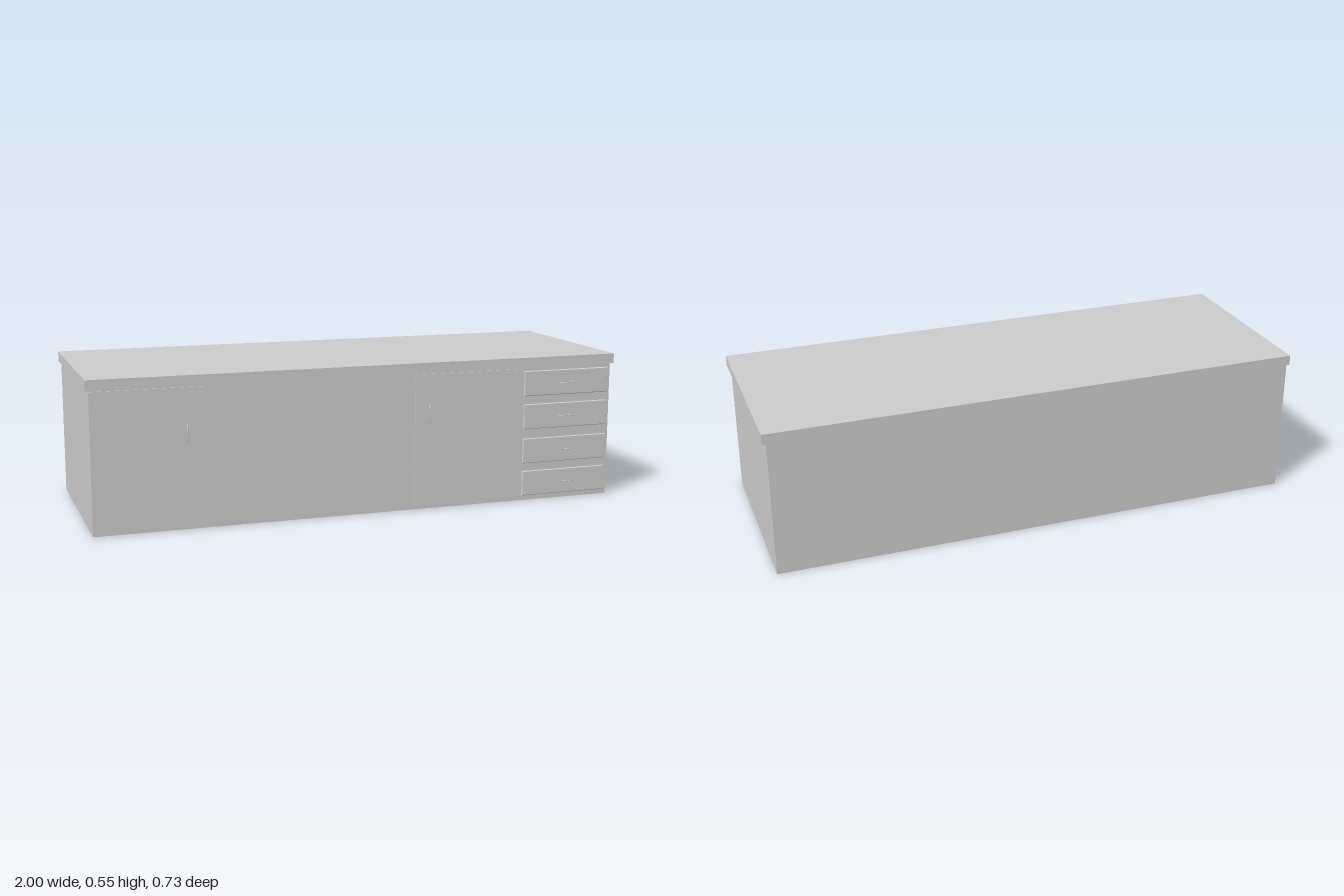
import * as THREE from 'three';

const material = new THREE.MeshStandardMaterial({ color: 0xcccccc });
const FRONT = 0.351; // front plane of the cabinet body

export function createModel() {
  const model = new THREE.Group();

  const add = (name, geometry, parent = model) => {
    const mesh = new THREE.Mesh(geometry, material);
    mesh.name = name;
    parent.add(mesh);
    return mesh;
  };

  // Box given by its extents
  const block = (name, x0, x1, y0, y1, z0, z1, parent) => {
    const mesh = add(name, new THREE.BoxGeometry(x1 - x0, y1 - y0, z1 - z0), parent);
    mesh.position.set((x0 + x1) / 2, (y0 + y1) / 2, (z0 + z1) / 2);
    return mesh;
  };

  // Bowed pull handle, lying along x unless turned upright
  const handle = (name, x, y, z, depth, upright, parent) => {
    const h = 0.034;
    const path = new THREE.CatmullRomCurve3([
      new THREE.Vector3(-h, 0, -0.002),
      new THREE.Vector3(-h * 0.8, 0, depth * 0.6),
      new THREE.Vector3(0, 0, depth),
      new THREE.Vector3(h * 0.8, 0, depth * 0.6),
      new THREE.Vector3(h, 0, -0.002),
    ]);
    const mesh = add(name, new THREE.TubeGeometry(path, 24, 0.002, 8), parent);
    mesh.position.set(x, y, z);
    if (upright) mesh.rotation.z = Math.PI / 2;
  };

  // Cabinet body and overhanging worktop
  block('cabinetBody', -0.99, 0.985, 0, 0.508, -0.362, FRONT);
  block('worktop', -1, 1, 0.508, 0.545, -0.366, 0.353);

  // Two doors, each with an upright handle
  for (const [side, x0, x1, hx, hy] of [
    ['right', -0.99, -0.6, -0.655, 0.343],
    ['left', 0.19, 0.62, 0.245, 0.355],
  ]) {
    const door = new THREE.Group();
    door.name = side + 'Door';
    model.add(door);
    block('doorPanel', x0, x1, 0.002, 0.504, FRONT - 0.003, 0.355, door);
    handle('doorHandle', hx, hy, 0.355, 0.01, true, door);
  }

  // Stack of four drawers with chamfered fronts
  [0.065, 0.19, 0.321, 0.447].forEach((y, i) => {
    const drawer = new THREE.Group();
    drawer.name = 'drawer' + (i + 1);
    model.add(drawer);
    const front = block('drawerFront', 0.625, 0.977, y - 0.05, y + 0.05, FRONT - 0.003, 0.355, drawer);
    const pos = front.geometry.attributes.position;
    for (let k = 0; k < pos.count; k++) {
      if (pos.getZ(k) > 0) {
        pos.setX(k, pos.getX(k) - Math.sign(pos.getX(k)) * 0.005);
        pos.setY(k, pos.getY(k) - Math.sign(pos.getY(k)) * 0.005);
      }
    }
    front.geometry.computeVertexNormals();
    handle('drawerHandle', 0.803, y - 0.002, 0.355, 0.008, false, drawer);
  });

  return model;
}
